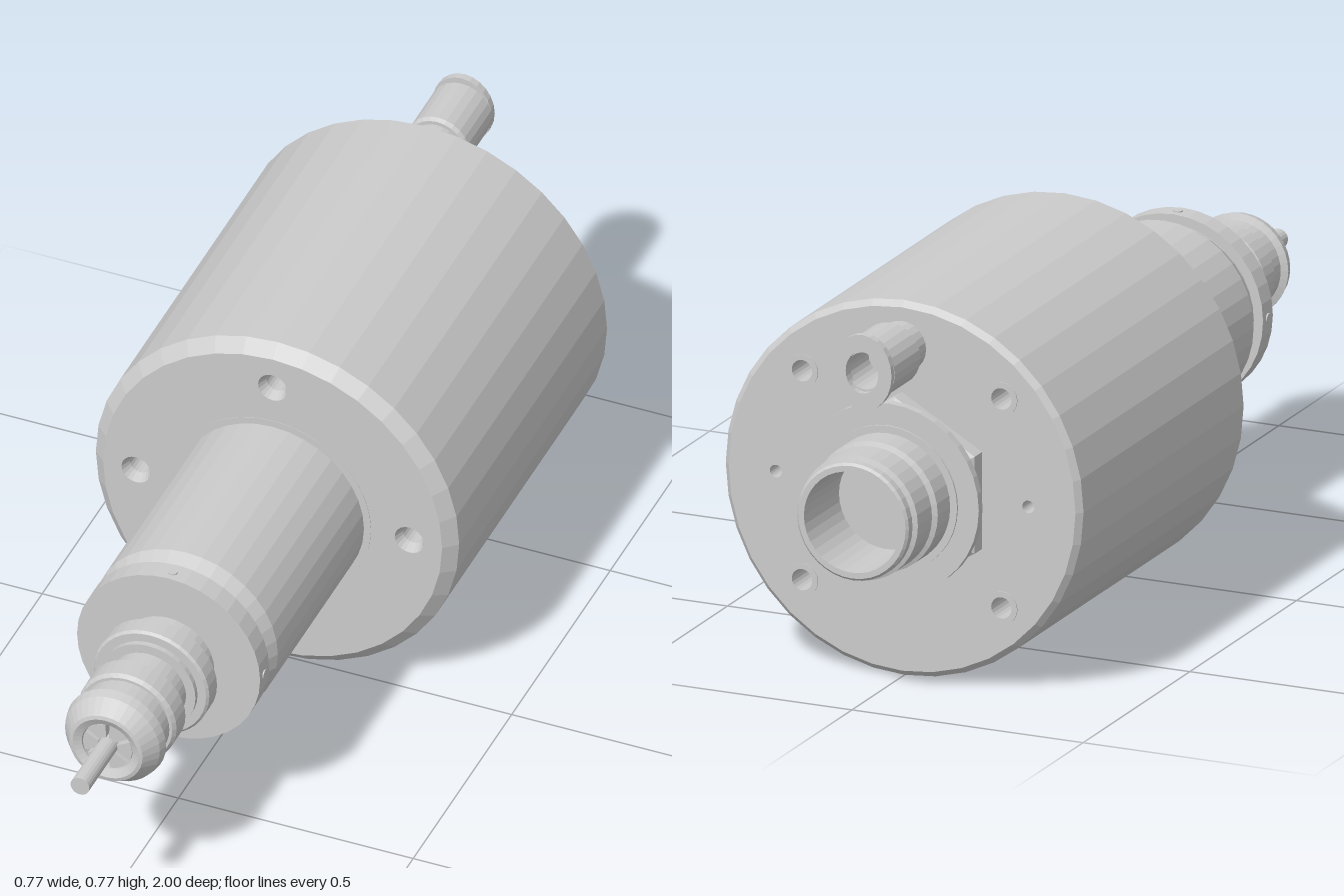
import * as THREE from 'three';

const CY = 0.389;   // height of the main axis
const BODY_R = 0.387;
const mat = new THREE.MeshStandardMaterial({ color: 0xcccccc, flatShading: true });

function add(group, name, geometry) {
  const mesh = new THREE.Mesh(geometry, mat);
  mesh.name = name;
  group.add(mesh);
  return mesh;
}

// Turned part along z: profile of [radius, z], from back to front for outer walls
function turned(profile, segments = 36) {
  const g = new THREE.LatheGeometry(profile.map(([r, z]) => new THREE.Vector2(r, z)), segments);
  return g.rotateX(Math.PI / 2);
}

// Round slab from z0 to z1 with drilled holes [x, y, radius]
function slab(radius, z0, z1, holes) {
  const pts = [];
  for (let i = 0; i < 36; i++) {
    const a = (i / 36) * Math.PI * 2;
    pts.push(new THREE.Vector2(radius * Math.cos(a), radius * Math.sin(a)));
  }
  const shape = new THREE.Shape(pts);
  for (const [x, y, r] of holes) {
    shape.holes.push(new THREE.Path().absarc(x, y, r, 0, Math.PI * 2, true));
  }
  const g = new THREE.ExtrudeGeometry(shape, { depth: z1 - z0, bevelEnabled: false, curveSegments: 10 });
  return g.translate(0, 0, z0);
}

// Evenly spaced hole positions on a bolt circle
function circle(count, radius, start, r) {
  return Array.from({ length: count }, (_, i) => {
    const a = start + (i / count) * Math.PI * 2;
    return [radius * Math.cos(a), radius * Math.sin(a), r];
  });
}

export function createModel() {
  const root = new THREE.Group();
  root.name = 'spindleMotor';
  const axis = new THREE.Group();
  axis.name = 'spindle';
  axis.position.y = CY;
  root.add(axis);

  // Motor housing: chamfered jacket around drilled slabs
  const body = new THREE.Group();
  body.name = 'housing';
  axis.add(body);
  add(body, 'jacket', turned([[0.375, -0.765], [BODY_R, -0.753], [BODY_R, -0.003], [0.361, 0.022]]));
  const air = [0, 0.295, 0.021];
  const wires = circle(2, 0.273, 0, 0.013);
  add(body, 'frontFace', slab(0.361, 0, 0.022, circle(4, 0.291, 0, 0.031)));
  add(body, 'frontPlate', slab(0.36, -0.15, 0, circle(4, 0.291, 0, 0.022)));
  add(body, 'core', slab(0.36, -0.6, -0.15, [air, ...wires]));
  add(body, 'backPlate', slab(0.375, -0.765, -0.6, [air, ...wires, ...circle(4, 0.305, Math.PI / 4, 0.022)]));
  for (const [x, y] of circle(4, 0.291, 0, 0)) {
    add(body, 'frontCountersink', turned([[0.031, 0.022], [0.022, 0]], 20)).position.set(x, y, 0);
  }
  // Raised rims around the rear screw holes
  for (const [x, y] of circle(4, 0.305, Math.PI / 4, 0)) {
    add(body, 'rearHoleRim', turned([[0.022, -0.75], [0.022, -0.767], [0.034, -0.767], [0.034, -0.76]], 20)).position.set(x, y, 0);
  }

  // Bearing nose with end ring
  add(axis, 'nose', turned([
    [0.21, 0.02], [0.21, 0.023], [0.195, 0.023], [0.195, 0.46], [0.175, 0.5], [0.175, 0.504],
    [0.195, 0.504], [0.195, 0.55], [0, 0.55],
  ]));
  for (let i = 0; i < 4; i++) {
    const pin = new THREE.CylinderGeometry(0.01, 0.01, 0.01, 12);
    pin.translate(0, 0.192, 0.528).rotateZ(i * Math.PI / 2);
    add(axis, 'ringPin', pin);
  }

  // Spindle neck and collet nut
  add(axis, 'neck', turned([
    [0.097, 0.545], [0.097, 0.592], [0.118, 0.592], [0.123, 0.597], [0.123, 0.636], [0.118, 0.641],
    [0.1, 0.641], [0.1, 0.652], [0.08, 0.652], [0.08, 0.71],
  ]));
  add(axis, 'colletNut', turned([
    [0.08, 0.705], [0.097, 0.705], [0.104, 0.712], [0.104, 0.757], [0.098, 0.765], [0.092, 0.765],
    [0.092, 0.81], [0.106, 0.815], [0.101, 0.835], [0.078, 0.868], [0.07, 0.87], [0.054, 0.862],
    [0.052, 0.8], [0, 0.8],
  ]));

  // Six collet jaws separated by slits
  for (let i = 0; i < 6; i++) {
    const a = (i / 6) * Math.PI * 2;
    const jaw = new THREE.Shape();
    jaw.absarc(0, 0, 0.052, a - 0.44, a + 0.44, false);
    jaw.absarc(0, 0, 0.021, a + 0.38, a - 0.38, true);
    const g = new THREE.ExtrudeGeometry(jaw, { depth: 0.06, bevelEnabled: false, curveSegments: 4 });
    add(axis, 'colletJaw', g.translate(0, 0, 0.8));
  }
  add(axis, 'toolShank', turned([[0, 0.79], [0.02, 0.79], [0.02, 1], [0, 1]], 20));

  // Rear connector: hex nut with one corner up, washer, hollow socket
  add(axis, 'hexNut', turned([[0, -0.812], [0.18, -0.812], [0.2, -0.8], [0.2, -0.76], [0, -0.76]], 6));
  add(axis, 'washer', turned([[0, -0.828], [0.195, -0.828], [0.195, -0.81], [0, -0.81]]));
  add(axis, 'socket', turned([
    [0, -0.84], [0.102, -0.84], [0.104, -1], [0.116, -1], [0.121, -0.995], [0.121, -0.978],
    [0.116, -0.972], [0.128, -0.968], [0.128, -0.902], [0.123, -0.895], [0.135, -0.89],
    [0.135, -0.832], [0.15, -0.832], [0.15, -0.826],
  ]));

  // Air hose fitting above the connector
  const fitting = new THREE.Group();
  fitting.name = 'airFitting';
  fitting.position.y = 0.295;
  axis.add(fitting);
  add(fitting, 'fittingBody', turned([
    [0.021, -0.76], [0.021, -0.84], [0.038, -0.84], [0.038, -0.94], [0.065, -0.94], [0.065, -0.82],
    [0.06, -0.812], [0.052, -0.812], [0.052, -0.762],
  ], 24));
  const collar = add(fitting, 'releaseCollar', turned([
    [0.043, -0.93], [0.043, -0.953], [0.078, -0.953], [0.078, -0.938], [0.05, -0.938],
  ], 24));
  collar.scale.x = 0.82;

  return root;
}
